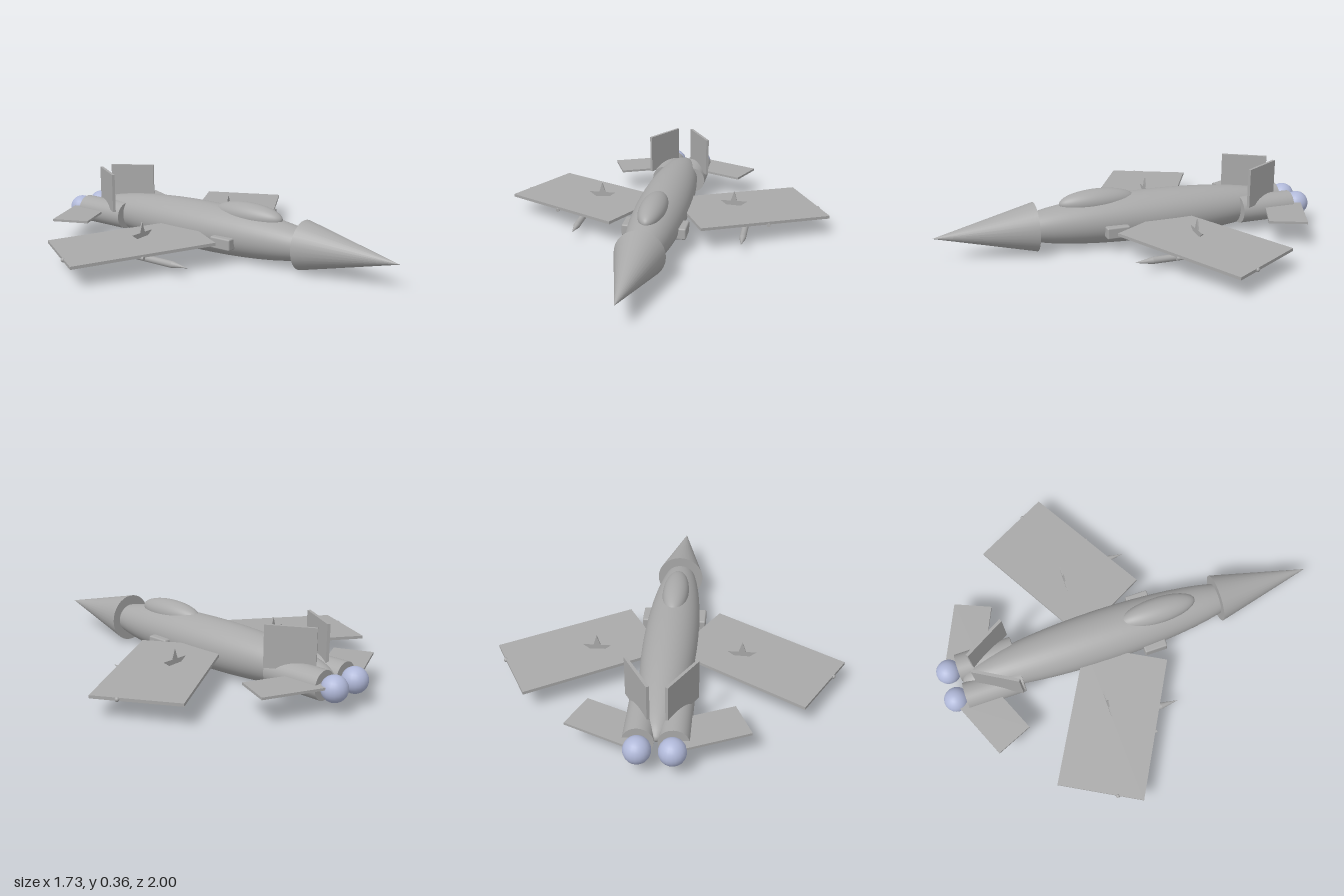
import * as THREE from 'three';
import { RoundedBoxGeometry } from 'three/addons/geometries/RoundedBoxGeometry.js';

export function createModel() {
  const model = new THREE.Group();
  model.name = 'jetAircraft';
  const grey = new THREE.MeshStandardMaterial({ color: 0xa9a9a9 });
  grey.name = 'airframeGrey';
  const blue = new THREE.MeshStandardMaterial({ color: 0xb0b8d8 });
  blue.name = 'exhaustBlue';

  function add(name, geometry, x, y, z, material = grey) {
    const mesh = new THREE.Mesh(geometry, material);
    mesh.name = name;
    mesh.position.set(x, y, z);
    model.add(mesh);
    return mesh;
  }
  const ellipsoid = (rx, ry, rz) =>
    new THREE.SphereGeometry(1, 40, 24).rotateX(Math.PI / 2).scale(rx, ry, rz);
  // Round body along z, front radius first
  const tube = (front, back, length, sides = 32) =>
    new THREE.CylinderGeometry(front, back, length, sides).rotateX(Math.PI / 2);

  // Body
  add('fuselage', ellipsoid(0.137, 0.128, 0.76), 0, 0.128, -0.12);
  add('noseCone', tube(0, 0.124, 0.505), 0, 0.13, 0.7475);
  add('canopy', ellipsoid(0.068, 0.062, 0.2), 0, 0.23, 0.168);

  // Five-pointed star plate
  const star = new THREE.Shape();
  for (let i = 0; i < 10; i++) {
    const r = i % 2 ? 0.029 : 0.075;
    const a = Math.PI / 2 + (i * Math.PI) / 5;
    star[i ? 'lineTo' : 'moveTo'](r * Math.cos(a), r * Math.sin(a));
  }
  star.closePath();
  const starPlate = new THREE.ExtrudeGeometry(star, { depth: 0.007, bevelEnabled: false });
  starPlate.translate(0, 0, -0.0035);

  for (const s of [1, -1]) {
    const side = s > 0 ? 'left' : 'right';

    // Swept, slightly drooping wing
    const wing = add(side + 'Wing', new THREE.BoxGeometry(0.72, 0.015, 0.43), s * 0.445, 0.117, -0.225);
    wing.rotation.set(0, s * 0.507, s * -0.04, 'ZYX');
    add(side + 'WingStar', starPlate, s * 0.36, 0.129, -0.225);
    add(side + 'WingTipLight', new THREE.SphereGeometry(0.011, 12, 8), s * 0.8, 0.102, -0.325);

    // Stores under the wing
    add(side + 'MissileBody', tube(0.017, 0.017, 0.29, 16), s * 0.435, 0.054, -0.11);
    add(side + 'MissileNose', tube(0, 0.017, 0.09, 16), s * 0.435, 0.054, 0.08);
    add(side + 'MissileFin', new THREE.BoxGeometry(0.075, 0.005, 0.04), s * 0.435, 0.054, -0.235);
    add(side + 'WingRod', tube(0.009, 0.009, 0.27, 12), s * 0.56, 0.102, -0.17);

    // Intake
    add(side + 'Intake', new RoundedBoxGeometry(0.07, 0.06, 0.12, 2, 0.008), s * 0.129, 0.104, 0.107);

    // Engine and exhaust
    add(side + 'Engine', tube(0.071, 0.071, 0.295), s * 0.079, 0.12, -0.7375);
    add(side + 'Exhaust', new THREE.SphereGeometry(0.063, 20, 14), s * 0.077, 0.118, -0.937, blue);

    // Tail surfaces
    const tailplane = add(side + 'Tailplane', new THREE.BoxGeometry(0.34, 0.012, 0.195), s * 0.222, 0.131, -0.788);
    tailplane.rotation.y = s * -0.41;
    const fin = add(side + 'Fin', new THREE.BoxGeometry(0.015, 0.205, 0.24), s * 0.102, 0.2575, -0.705);
    fin.rotation.y = s * 0.535;
  }
  return model;
}
